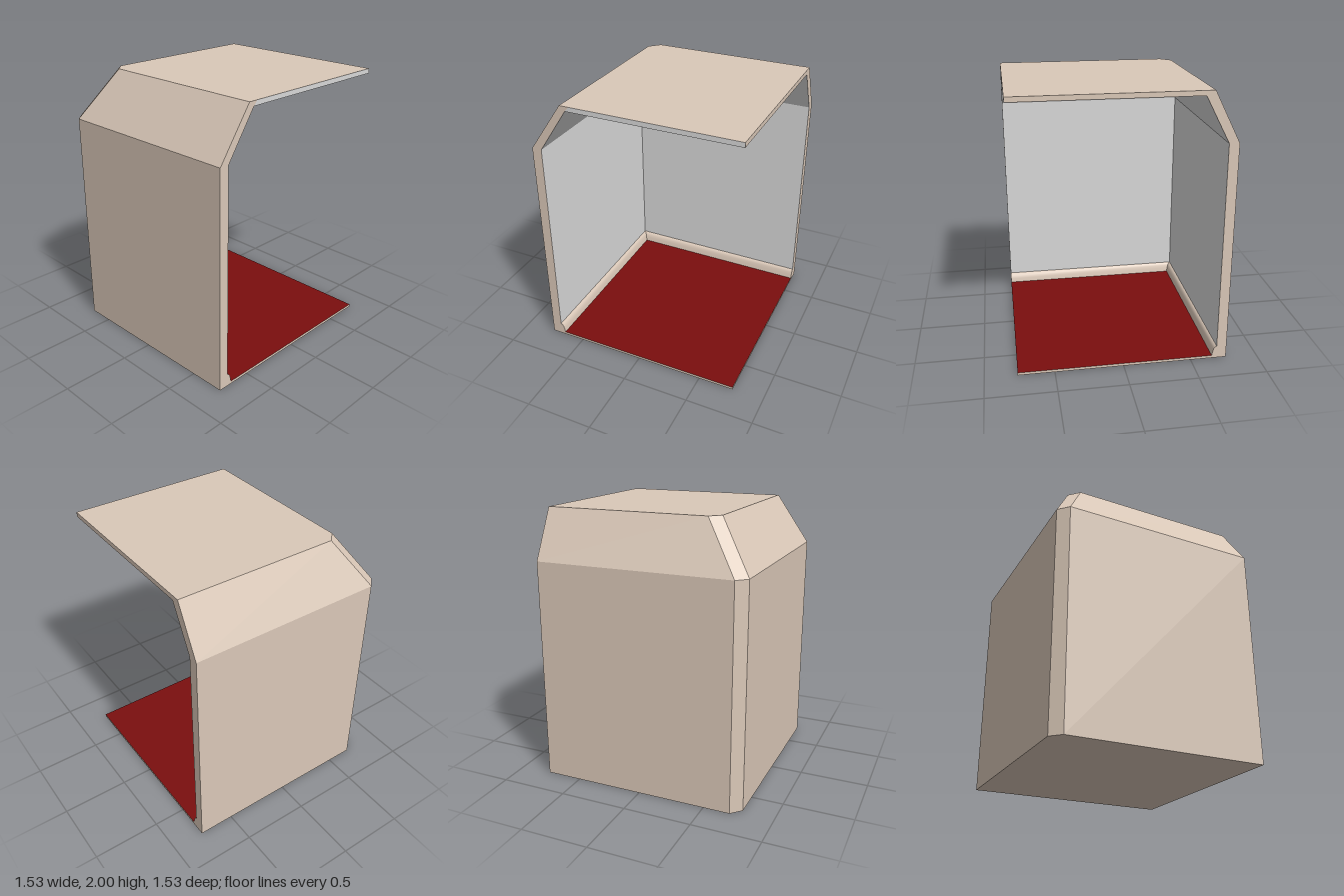
import * as THREE from 'three';
import { mergeVertices } from 'three/addons/utils/BufferGeometryUtils.js';

const material = (name, color) => new THREE.MeshStandardMaterial({ name, color });

// Convex planar faces, fanned into triangles; each is turned to look along its direction
function facesGeometry(faces) {
  const out = [];
  for (const [points, direction] of faces) {
    const v = points.map((p) => new THREE.Vector3(...p));
    const normal = v[1].clone().sub(v[0]).cross(v[2].clone().sub(v[0]));
    if (normal.dot(new THREE.Vector3(...direction)) < 0) v.reverse();
    for (let i = 1; i < v.length - 1; i++) {
      for (const p of [v[0], v[i], v[i + 1]]) out.push(p.x, p.y, p.z);
    }
  }
  const geometry = new THREE.BufferGeometry();
  geometry.setAttribute('position', new THREE.Float32BufferAttribute(out, 3));
  geometry.computeVertexNormals();
  return geometry;
}

export function createModel() {
  const model = new THREE.Group();
  model.name = 'cutawayRoom';
  const tan = material('tan plaster', 0xdac8b8);
  const grey = material('light grey', 0xd9d9d9);
  const red = material('dark red', 0x7b0e0e);

  const add = (name, mat, geometry) => {
    const mesh = new THREE.Mesh(geometry, mat);
    mesh.name = name;
    model.add(mesh);
  };

  const E = 0.765, O = -0.768, I = -0.695;   // open edge, outer wall, inner wall
  const eave = 1.64, top = 2, ceiling = 1.965, floor = 0.02;
  const UP = [0, 1, 0], DOWN = [0, -1, 0], FRONT = [0, 0, 1], RIGHT = [1, 0, 0];

  // Plan outlines, from the open right edge round the corner to the open front
  const outer = (y) => [[E, y, O], [I, y, O], [O, y, I], [O, y, E]];
  const outerTop = [[E, top, -0.585], [-0.442, top, -0.585], [-0.515, top, -0.512], [-0.515, top, E]];
  const inner = (y) => [[E, y, I], [I, y, I], [I, y, E]];
  const innerTop = [[E, ceiling, -0.525], [-0.475, ceiling, -0.525], [-0.475, ceiling, E]];

  // Quads between two outlines
  const band = (low, high, directions) => directions.map((d, i) =>
    [[low[i], low[i + 1], high[i + 1], high[i]], d]);
  const outward = [[0, 0, -1], [-1, 0, -1], [-1, 0, 0]];
  const inward = [FRONT, RIGHT];

  add('outerWalls', tan, facesGeometry(band(outer(0), outer(eave), outward)));
  add('outerSlopes', tan, facesGeometry(band(outer(eave), outerTop, outward)));
  add('roof', tan, facesGeometry([[[...outerTop, [E, top, E]], UP]]));
  add('underside', tan, facesGeometry([[[...outer(0), [E, 0, E]], DOWN]]));

  add('innerWalls', grey, facesGeometry(band(inner(floor), inner(eave), inward)));
  add('innerSlopes', grey, facesGeometry(band(inner(eave), innerTop, inward)));
  add('ceiling', grey, facesGeometry([[[...innerTop, [E, ceiling, E]], DOWN]]));
  add('floor', red, facesGeometry([[[...inner(floor), [E, floor, E]], UP]]));

  // Cut edges at the open front
  add('frontRim', tan, facesGeometry([
    [[[O, 0, E], [I, 0, E], [I, eave, E], [O, eave, E]], FRONT],
    [[[O, eave, E], [I, eave, E], [-0.475, ceiling, E], [-0.515, top, E]], FRONT],
    [[[-0.515, top, E], [-0.475, ceiling, E], [-0.445, top, E]], FRONT],
    [[[I, 0, E], [E, 0, E], [E, floor, E], [I, floor, E]], FRONT],
  ]));
  add('roofFrontEdge', grey, facesGeometry([
    [[[-0.475, ceiling, E], [E, ceiling, E], [E, top, E], [-0.445, top, E]], FRONT],
  ]));

  // Cut edges at the open right side
  add('rightRim', tan, facesGeometry([
    [[[E, 0, O], [E, 0, I], [E, eave, I], [E, eave, O]], RIGHT],
    [[[E, eave, O], [E, eave, I], [E, ceiling, -0.525], [E, top, -0.585]], RIGHT],
    [[[E, ceiling, -0.525], [E, ceiling, E], [E, top, E], [E, top, -0.585]], RIGHT],
    [[[E, 0, I], [E, 0, E], [E, floor, E], [E, floor, I]], RIGHT],
  ]));

  // Skirting: a rounded profile (distance from wall, height), mitred in the corner
  const profile = [[0, 0.095], [0.012, 0.09], [0.023, 0.075], [0.029, 0.05], [0.035, floor]];
  const skirting = (name, place, direction) => {
    const faces = profile.slice(1).map((b, i) => {
      const a = profile[i];
      return [[place(a, I + a[0]), place(a, E), place(b, E), place(b, I + b[0])], direction];
    });
    const geometry = facesGeometry(faces);
    geometry.deleteAttribute('normal');
    const smooth = mergeVertices(geometry);
    smooth.computeVertexNormals();
    add(name, tan, smooth);
  };
  const alongBack = ([d, y], s) => [s, y, I + d];
  const alongLeft = ([d, y], s) => [I + d, y, s];
  skirting('backSkirting', alongBack, [0, 1, 1]);
  skirting('sideSkirting', alongLeft, [1, 1, 0]);
  add('skirtingEnds', tan, facesGeometry([
    [[...profile.map((p) => alongBack(p, E)), [E, floor, I]], RIGHT],
    [[...profile.map((p) => alongLeft(p, E)), [I, floor, E]], FRONT],
  ]));

  return model;
}
